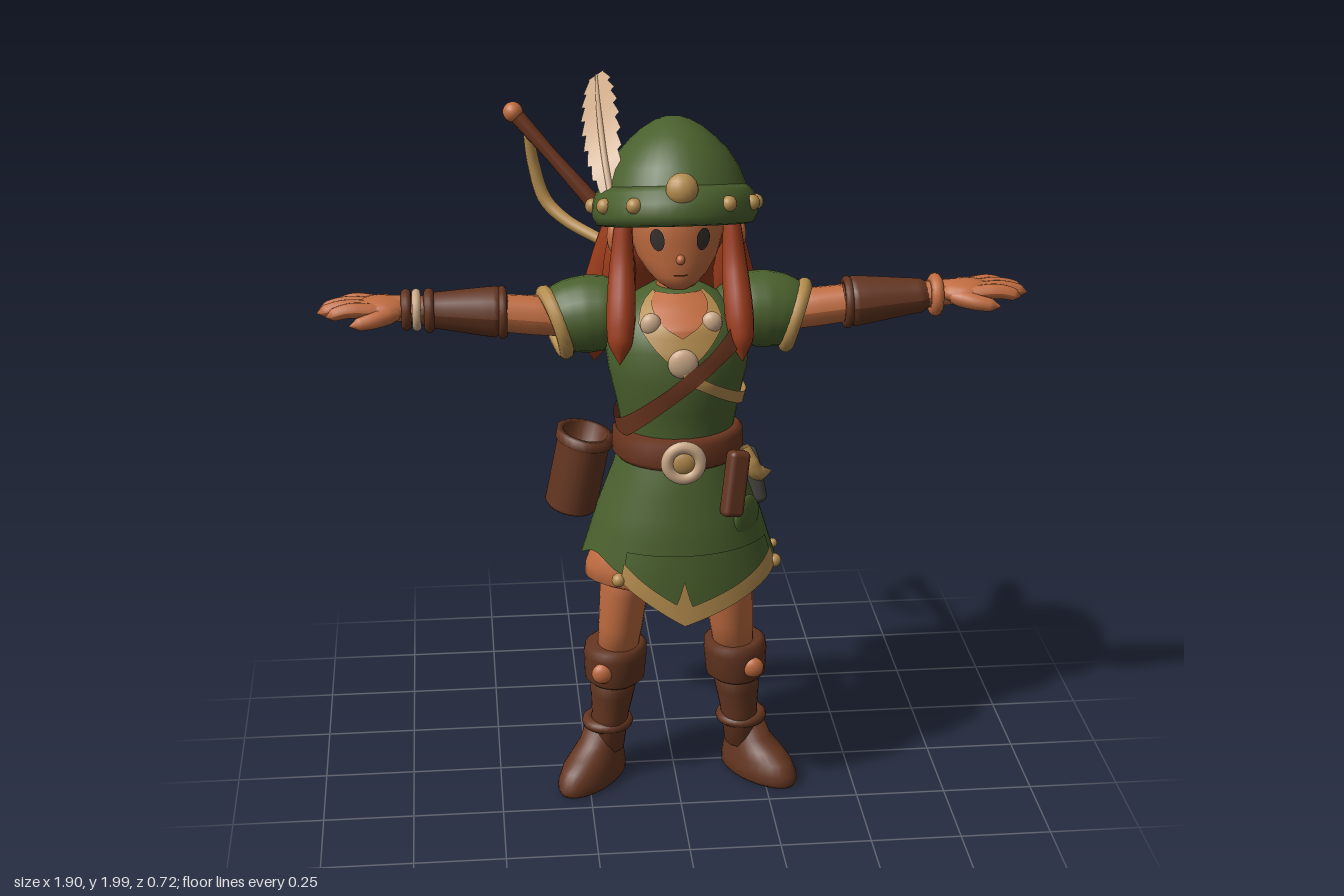
import * as THREE from 'three';
import { RoundedBoxGeometry } from 'three/addons/geometries/RoundedBoxGeometry.js';

const mat = (name, color) => new THREE.MeshStandardMaterial({ name, color, side: THREE.DoubleSide });
const V = (x, y, z) => new THREE.Vector3(x, y, z);

// Point on a body made of stacked ellipses [y, cx, cz, rx, rz], rising in y
function onBody(rows, y, a, off = 0) {
  let i = 0;
  while (i < rows.length - 2 && rows[i + 1][0] < y) i++;
  const A = rows[i], B = rows[i + 1];
  const t = THREE.MathUtils.clamp((y - A[0]) / (B[0] - A[0]), 0, 1);
  const m = k => A[k] + (B[k] - A[k]) * t;
  return V(m(1) + (m(3) + off) * Math.sin(a), y, m(2) + (m(4) + off) * Math.cos(a));
}

// Surface from f(u, v)
function grid(f, nu, nv) {
  const pos = [], idx = [];
  for (let j = 0; j <= nv; j++) for (let i = 0; i <= nu; i++) pos.push(...f(i / nu, j / nv).toArray());
  for (let j = 0; j < nv; j++) for (let i = 0; i < nu; i++) {
    const a = j * (nu + 1) + i, d = a + nu + 1;
    idx.push(a, a + 1, d + 1, a, d + 1, d);
  }
  const g = new THREE.BufferGeometry();
  g.setAttribute('position', new THREE.Float32BufferAttribute(pos, 3));
  g.setIndex(idx);
  g.computeVertexNormals();
  return g;
}

// Closed body through ellipses
function loft(rows, n = 28) {
  const pos = [], idx = [], first = rows[0], last = rows[rows.length - 1];
  const all = [[...first.slice(0, 3), 0, 0], ...rows, [...last.slice(0, 3), 0, 0]];
  for (const [y, cx, cz, rx, rz] of all) for (let i = 0; i < n; i++) {
    const a = i / n * Math.PI * 2;
    pos.push(cx + rx * Math.sin(a), y, cz + rz * Math.cos(a));
  }
  for (let j = 0; j < all.length - 1; j++) for (let i = 0; i < n; i++) {
    const k = (i + 1) % n, a = j * n + i, b = j * n + k;
    idx.push(a, b, b + n, a, b + n, a + n);
  }
  const g = new THREE.BufferGeometry();
  g.setAttribute('position', new THREE.Float32BufferAttribute(pos, 3));
  g.setIndex(idx);
  g.computeVertexNormals();
  return g;
}

// Tube with changing radius
function taper(pts, radii, n = 12, segs = 24) {
  const path = new THREE.CatmullRomCurve3(pts.map(p => V(...p)));
  const g = new THREE.TubeGeometry(path, segs, 1, n);
  const p = g.attributes.position, q = V(0, 0, 0);
  for (let i = 0; i < p.count; i++) {
    const u = Math.floor(i / (n + 1)) / segs, c = path.getPointAt(u);
    const t = u * (radii.length - 1), k = Math.min(Math.floor(t), radii.length - 2);
    q.fromBufferAttribute(p, i).sub(c).multiplyScalar(THREE.MathUtils.lerp(radii[k], radii[k + 1], t - k)).add(c);
    p.setXYZ(i, q.x, q.y, q.z);
  }
  g.computeVertexNormals();
  return g;
}

export function createModel() {
  const root = new THREE.Group();
  const green = mat('leaf green', 0x4a602d), skin = mat('warm skin', 0xc06c40), brown = mat('brown leather', 0x633520);
  const red = mat('red hair', 0x9c3c1c), gold = mat('dull gold', 0xb48c4e), cream = mat('cream', 0xcba988);
  const gray = mat('dark gray', 0x484641), dark = mat('eye dark', 0x36302d), belted = mat('belt leather', 0x6b351f);
  const add = (name, geo, m, p = [0, 0, 0], parent = root) => {
    const mesh = new THREE.Mesh(geo, m);
    mesh.name = name;
    mesh.position.set(...p);
    parent.add(mesh);
    return mesh;
  };
  const ball = (name, m, p, sx, sy = sx, sz = sx, parent = root) => {
    const mesh = add(name, new THREE.SphereGeometry(1, 16, 12), m, p, parent);
    mesh.scale.set(sx, sy, sz);
    return mesh;
  };
  const patch = (name, rows, f, m, off, nu = 32, nv = 6) =>
    add(name, grid((u, v) => { const [y, a] = f(u, v); return onBody(rows, y, a, off); }, nu, nv), m);
  const mix = THREE.MathUtils.lerp;

  // Torso with neckline and cross straps
  const torso = [[1.03, 0, .13, .15, .14], [1.1, 0, .13, .15, .135], [1.18, 0, .13, .165, .145], [1.27, 0, .13, .185, .16],
    [1.35, 0, .125, .195, .155], [1.42, 0, .115, .17, .14], [1.465, 0, .1, .11, .095], [1.49, 0, .09, .06, .06]];
  add('tunicTop', loft(torso, 36), green);
  const vee = (bottom, wide) => (u, v) => [mix(bottom, 1.485, v), (u * 2 - 1) * wide * v];
  patch('collarTrim', torso, vee(1.3, 1.05), gold, .007, 16, 12);
  patch('neckline', torso, vee(1.395, .85), skin, .012, 16, 12);
  patch('shoulderStrap', torso, (u, v) => { const a = u * Math.PI * 2; return [1.27 + .16 * Math.sin(a) + .056 * (v - .5), a]; }, belted, .016, 60, 4);
  patch('chestTrim', torso, (u, v) => { const a = u * 3.5; return [1.3 - .11 * Math.sin(a) + .034 * (v - .5), a]; }, gold, .013, 40, 3);
  ball('brooch', cream, [0, 1.33, .285], .04, .04, .018);
  for (const s of [-1, 1]) ball('collarBead', cream, [s * .08, 1.425, .235], .028, .03, .02);

  // Skirt, pointed front flap, back tail and underskirt
  const skirt = [[.58, 0, .13, .285, .205], [.7, 0, .13, .275, .2], [.76, 0, .13, .255, .197], [.86, 0, .13, .225, .186],
    [.98, 0, .13, .18, .162], [1.06, 0, .13, .155, .14]];
  const hem = a => .72 + .05 * Math.exp(-(((a + 1.15) / .4) ** 2));
  patch('skirt', skirt, (u, v) => { const a = (u * 2 - 1) * Math.PI; return [mix(hem(a), 1.06, v), a]; }, green, 0, 56, 12);
  patch('backTail', skirt, (u, v) => [mix(.68, 1.04, v), mix(-2.2, -2.42, u)], green, .01, 4, 12);
  const tip = a => .6 + .12 * Math.abs(a) / (a < 0 ? .65 : 1.2);
  patch('frontFlap', skirt, (u, v) => { const a = mix(-.65, 1.2, u); return [mix(tip(a), .8, v), a]; }, green, .006, 74, 4);
  patch('flapTrim', skirt, (u, v) => {
    const a = mix(-.65, 1.2, u);
    return [tip(a) + v * (.05 + .08 * Math.max(0, 1 - Math.abs(a) / .07)), a];
  }, gold, .012, 74, 3);
  for (const a of [-.68, 1.22]) ball('flapBead', gold, onBody(skirt, .72, a, .008).toArray(), .019);
  for (const a of [1.7, 2.15, 2.6, 3.1, 3.6, 4.1])
    ball('hemBead', gold, onBody(skirt, .728, a, .004).toArray(), .013);
  add('underskirt', loft([[.655, 0, .11, .235, .14], [.665, 0, .11, .255, .152], [.7, 0, .11, .252, .152], [.79, 0, .12, .22, .15]]), skin);
  ball('roundPocket', green, onBody(skirt, .87, .95, -.004).toArray(), .055, .06, .016).rotation.y = .85;

  // Belt and things hung from it
  add('belt', loft([[1.025, 0, .13, .165, .15], [1.04, 0, .13, .178, .162], [1.095, 0, .13, .176, .16], [1.112, 0, .13, .16, .145]], 36), belted);
  add('buckleRing', new THREE.TorusGeometry(.044, .017, 10, 28), cream, [0, 1.06, .306]);
  ball('buckleCentre', gold, [0, 1.06, .302], .036, .036, .018);
  const bag = add('sideBag', new THREE.LatheGeometry([[0, -.11], [.064, -.11], [.072, -.1], [.072, .08], [.078, .085], [.078, .11], [.06, .11], [.058, .03], [0, .03]]
    .map(p => new THREE.Vector2(...p)), 24), brown, [-.268, .962, .08]);
  bag.rotation.z = -.2;
  bag.scale.z = 1.2;
  const sheath = add('sheath', new RoundedBoxGeometry(.06, .18, .045, 3, .015), brown, [.14, .985, .28]);
  sheath.rotation.set(-.15, .4, -.15);
  add('hornHilt', taper([[.17, 1.07, .23], [.2, 1.0, .235], [.25, .985, .2]], [.014, .024, .022, 0]), gold);
  add('grayPouch', new RoundedBoxGeometry(.045, .145, .095, 3, .02), gray, [.21, .945, .125]).rotation.z = .2;

  // Neck, head and face
  const head = [[1.5, 0, .15, .03, .035], [1.515, 0, .14, .055, .062], [1.54, 0, .125, .08, .088], [1.58, 0, .1, .108, .114],
    [1.64, 0, .09, .125, .126], [1.72, 0, .085, .13, .13], [1.8, 0, .07, .1, .1]];
  add('neck', new THREE.CylinderGeometry(.05, .058, .14, 20), skin, [0, 1.49, .09]);
  add('head', loft(head, 32), skin);
  ball('nose', skin, [0, 1.592, .212], .012, .014, .016);
  for (const s of [-1, 1]) {
    patch('eye', head, (u, v) => [1.644 + .03 * v * Math.sin(u * 6.2832), s * (.49 + .16 * v * Math.cos(u * 6.2832))], dark, .004, 20, 3);
    patch('eyebrow', head, (u, v) => [1.687 + .012 * u + .013 * v, s * mix(.22, .8, u)], red, .005, 8, 1);
    ball('ear', skin, [s * .168, 1.625, .1], .016, .042, .028);
    // Long front locks
    add('frontLock', taper([[s * .142, 1.68, .13], [s * .148, 1.56, .15], [s * .156, 1.43, .205], [s * .162, 1.315, .24]],
      [.022, .027, .032, .036, .038, .038, .033, 0], 14), red);
    add('sideHair', taper([[s * .125, 1.66, .05], [s * .145, 1.55, .05], [s * .15, 1.43, .02], [s * .16, 1.35, -.03]], [.03, .042, .045, .04, 0]), red);
  }
  patch('mouth', head, (u, v) => [1.548 + .004 * v, mix(-.2, .2, u)], belted, .004, 8, 1);
  // Back hair: one broad mass ending in heavy locks
  add('hairCap', loft([[1.3, 0, -.125, .11, .04], [1.38, 0, -.105, .15, .07], [1.46, 0, -.075, .16, .09], [1.53, 0, -.03, .158, .118],
    [1.62, 0, .015, .155, .14], [1.72, 0, .03, .14, .14]]), red);
  [[-.12, -.205, 1.185], [-.06, -.115, 1.225], [0, 0, 1.29], [.06, .115, 1.225], [.12, .205, 1.185]].forEach(([x0, x1, y]) =>
    add('backLock', taper([[x0, 1.66, -.045], [mix(x0, x1, .4), 1.5, -.085], [mix(x0, x1, .85), 1.34, -.12], [x1, y, -.16]],
      [.035, .055, .062, .064, .062, .055, .044, 0], 16), red));

  // Hat tilted back, with studs
  const hat = new THREE.Group();
  hat.name = 'hat';
  hat.position.set(0, 1.69, .05);
  hat.rotation.x = -.27;
  root.add(hat);
  add('hatDome', loft([[0, 0, 0, .2, .215], [.05, 0, -.004, .192, .208], [.1, 0, -.006, .174, .193], [.145, 0, -.008, .146, .168], [.18, 0, -.01, .113, .136],
    [.208, 0, -.01, .08, .1], [.228, 0, -.01, .045, .06], [.236, 0, -.01, .018, .025]], 36), green, [0, 0, 0], hat);
  const brim = [[-.05, 0, 0, .19, .212], [-.046, 0, 0, .207, .23], [-.025, 0, 0, .219, .241], [.01, 0, 0, .219, .239], [.04, 0, 0, .207, .226], [.054, 0, 0, .188, .206]];
  add('hatBrim', loft(brim, 40), green, [0, 0, 0], hat);
  ball('hatBadge', gold, [0, .045, .222], .042, .042, .03, hat);
  for (const a of [-2.25, -1.6, -1.1, -.6, .6, 1.1, 1.6, 2.25, 3.1416])
    ball('hatStud', gold, onBody(brim, .005, a, -.003).toArray(), .021, .021, .021, hat);

  // Feather: a tilted blade with notched edges
  const quill = [[-.17, 1.72, .14], [-.185, 1.83, .06], [-.19, 1.92, -.07], [-.185, 1.975, -.245]];
  const spine = new THREE.CatmullRomCurve3(quill.map(p => V(...p)));
  add('feather', grid((u, v) => {
    const w = .05 * Math.pow(Math.sin(Math.PI * Math.min(.96, .05 + u * .91)), .4) * (1 - .25 * ((u * 8) % 1));
    const side = v * 2 - 1;
    return spine.getPoint(.12 + .88 * u).add(V(side * w, .65 * side * w, 0));
  }, 64, 4), cream);
  add('featherQuill', taper(quill, [.009, .008, .003]), cream);

  // Bow slung on the back
  add('bowLimb', taper([[-.405, 1.85, -.335], [-.3, 1.73, -.3], [-.17, 1.58, -.26], [.06, 1.3, -.185]], [.022, .018, .022, .026, .024, .02]), belted);
  ball('bowTip', skin, [-.41, 1.855, -.335], .028);
  add('bowCurve', taper([[-.37, 1.81, -.335], [-.355, 1.7, -.352], [-.325, 1.6, -.345], [-.27, 1.55, -.31], [-.18, 1.51, -.25]], [.014, .017, .019, .017, .016]), gold);

  for (const s of [-1, 1]) {
    // Arm: puffed sleeve, slanted cuff, bracer, hand
    const ring = (name, m, x, y, z, R, r, dy = 0, dz = 0) =>
      add(name, new THREE.TorusGeometry(R, r, 10, 28), m, [s * x, y, z]).quaternion.setFromUnitVectors(V(0, 0, 1), V(s, dy, dz).normalize());
    add('sleeve', taper([[s * .1, 1.4, .09], [s * .2, 1.407, .078], [s * .27, 1.4, .073], [s * .322, 1.383, .075]], [.05, .085, .1, .104, .1, .088], 20), green);
    ring('sleeveCuff', gold, .323, 1.383, .072, .084, .021, -.3, .2);
    add('upperArm', taper([[s * .25, 1.39, .07], [s * .37, 1.405, .075], [s * .5, 1.42, .08]], [.05, .053, .05], 16), skin);
    add('bracer', taper([[s * .448, 1.418, .08], [s * .56, 1.425, .08], [s * .69, 1.432, .08]], [.045, .069, .066, .062, .058, .054, .05, .047, .03], 18), brown);
    ring('bracerRim', brown, .462, 1.418, .08, .059, .012);
    if (s > 0) ring('wristBand', skin, .7, 1.433, .085, .042, .017);
    else {
      ring('wristBand', cream, .688, 1.433, .084, .045, .012);
      ring('wristCord', brown, .715, 1.435, .085, .042, .014);
      ring('wristCord', brown, .655, 1.43, .082, .046, .014);
    }
    add('wrist', taper([[s * .66, 1.432, .08], [s * .72, 1.438, .083], [s * .77, 1.442, .088]], [.036, .036, .036]), skin);
    ball('palm', skin, [s * .78, 1.445, .092], .075, .032, .06);
    for (const [z0, x, z] of [[.055, .905, .04], [.08, .945, .068], [.105, .95, .1], [.128, .925, .135]])
      add('finger', taper([[s * .79, 1.447, z0], [s * mix(.79, x, .55), 1.452, mix(z0, z, .6)], [s * x, 1.437, z]],
        [.02, .021, .021, .021, .02, .019, .017, 0]), skin);
    add('thumb', taper([[s * .74, 1.44, .12], [s * .8, 1.43, .152], [s * .865, 1.42, .166]], [.02, .024, .023, .021, .018, 0]), skin);

    // Leg and boot
    add('leg', loft([[.4, s * .165, .078, .056, .065], [.5, s * .155, .09, .062, .08], [.62, s * .145, .105, .068, .092], [.76, s * .12, .115, .075, .095]]), skin);
    add('bootShaft', loft([[.09, s * .195, .045, .05, .06], [.2, s * .184, .05, .053, .065], [.27, s * .178, .057, .062, .072], [.36, s * .17, .065, .07, .078]]), brown);
    add('bootCuff', loft([[.312, s * .173, .066, .07, .078], [.325, s * .172, .067, .084, .09], [.4, s * .17, .07, .089, .095], [.425, s * .168, .072, .086, .092], [.434, s * .168, .072, .072, .08]]), brown);
    ball('bootStud', skin, [s * .212, .368, .15], .03, .03, .02);
    add('ankleStrap', new THREE.TorusGeometry(.056, .017, 10, 26), brown, [s * .192, .168, .045]).rotation.x = Math.PI / 2;
    const foot = add('foot', loft([[0, 0, .066, .064, .13], [.012, 0, .066, .072, .136], [.035, 0, .065, .071, .134], [.065, 0, .058, .066, .122], [.09, 0, .042, .059, .1],
      [.115, 0, .02, .054, .074], [.16, 0, .004, .05, .056]]), brown, [s * .2, 0, .034]);
    foot.rotation.y = s * .66;
  }
  return root;
}
